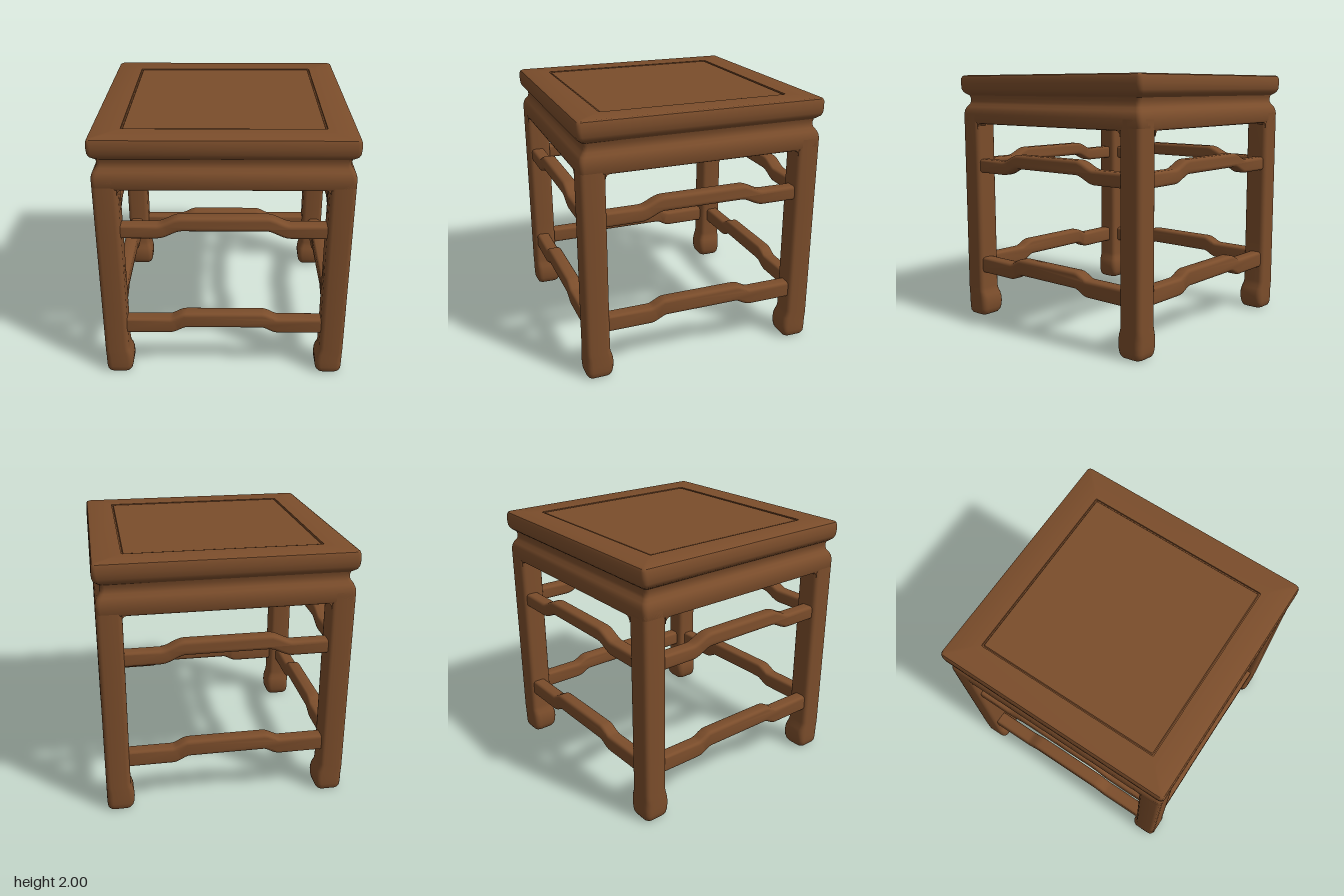
import * as THREE from 'three';
import { toCreasedNormals } from 'three/addons/utils/BufferGeometryUtils.js';

// Skin through rounded squares; each ring is [centre, half size, y, corner radius]
function squareLoft(rings) {
  const steps = 4, n = 4 * (steps + 1), pos = [], index = [];
  for (const [c, h, y, r] of rings) {
    for (let k = 0; k < 4; k++) {
      const mid = (k + 0.5) * Math.PI / 2;
      const sx = Math.sign(Math.cos(mid)), sz = Math.sign(Math.sin(mid));
      for (let s = 0; s <= steps; s++) {
        const a = (k + s / steps) * Math.PI / 2;
        pos.push(c + sx * (h - r) + r * Math.cos(a), y, c + sz * (h - r) + r * Math.sin(a));
      }
    }
  }
  for (let i = 0; i < rings.length - 1; i++) {
    for (let j = 0; j < n; j++) {
      const a = i * n + j, b = i * n + (j + 1) % n;
      index.push(a, b, a + n, b, b + n, a + n);
    }
  }
  const geo = new THREE.BufferGeometry();
  geo.setAttribute('position', new THREE.Float32BufferAttribute(pos, 3));
  geo.setIndex(index);
  return toCreasedNormals(geo, 0.7);
}

// Humped rail: raised in the middle, eased down to both ends
function railGeometry(y0, y1, rise, inner, outer) {
  const half = 0.78, bevel = 0.025, zMin = 0.805, zMax = 0.915;
  const lift = x => rise * (1 - THREE.MathUtils.smoothstep(Math.abs(x), inner, outer));
  const xs = [-half];
  for (let i = 0; i <= 8; i++) xs.push(-outer + (outer - inner) * i / 8);
  for (let i = 0; i <= 8; i++) xs.push(inner + (outer - inner) * i / 8);
  xs.push(half);
  const bottom = xs.map(x => new THREE.Vector2(x, y0 + bevel + lift(x)));
  const top = xs.map(x => new THREE.Vector2(x, y1 - bevel + lift(x))).reverse();
  const geo = new THREE.ExtrudeGeometry(new THREE.Shape([...bottom, ...top]), {
    depth: zMax - zMin - 2 * bevel, bevelEnabled: true,
    bevelSize: bevel, bevelThickness: bevel, bevelSegments: 4,
  });
  geo.translate(0, 0, zMin + bevel);
  return toCreasedNormals(geo, 0.7);
}

// Small concave bracket between apron and leg
function filletGeometry(side) {
  const r = 0.045, x = 0.755, y = 1.615;
  const s = new THREE.Shape();
  s.moveTo(side * x, y);
  s.lineTo(side * x, y - r);
  s.quadraticCurveTo(side * x, y, side * (x - r), y);
  s.lineTo(side * (x - r), y + 0.005);
  s.lineTo(side * x, y + 0.005);
  const geo = new THREE.ExtrudeGeometry(s, { depth: 0.075, bevelEnabled: false, curveSegments: 6 });
  geo.translate(0, 0, 0.855);
  return geo;
}

export function createModel() {
  const wood = new THREE.MeshStandardMaterial({ color: 0x7b4d2b });
  wood.name = 'brown wood';
  const model = new THREE.Group();
  model.name = 'squareStool';
  const add = (name, geo, parent = model) => {
    const mesh = new THREE.Mesh(geo, wood);
    mesh.name = name;
    parent.add(mesh);
    return mesh;
  };

  // Seat frame, waist and apron as one moulding, from the top groove round to the underside
  const moulding = [
    [0.731, 1.985, 0.01], [0.731, 2.0, 0.01], [0.925, 2.0, 0.02], [0.94, 1.993, 0.03],
    [0.947, 1.975, 0.03], [0.95, 1.93, 0.035], [0.947, 1.89, 0.035], [0.937, 1.865, 0.035],
    [0.92, 1.85, 0.035], [0.9, 1.837, 0.03], [0.894, 1.815, 0.03], [0.894, 1.79, 0.03],
    [0.9, 1.77, 0.03], [0.92, 1.745, 0.035], [0.931, 1.72, 0.035], [0.936, 1.69, 0.035],
    [0.936, 1.63, 0.035], [0.93, 1.615, 0.035], [0.92, 1.61, 0.03], [0.855, 1.61, 0.01],
    [0.85, 1.82, 0.01], [0.74, 1.82, 0.01], [0.74, 1.86, 0.01], [0.67, 1.86, 0.01],
    [0.67, 1.9, 0.01], [0.6, 1.9, 0.01], [0.6, 1.93, 0.01],
  ];
  add('seatFrameAndApron', squareLoft(moulding.map(([h, y, r]) => [0, h, y, r])));

  // Seat panel, set in a fine groove
  add('seatPanel', squareLoft([
    [0, 0, 1.996, 0], [0, 0.716, 1.996, 0.01], [0, 0.722, 1.986, 0.01],
    [0, 0.735, 1.985, 0.01], [0, 0.735, 1.925, 0.01], [0, 0, 1.925, 0],
  ]));

  // Leg with hoof foot: [outer face, inner face, y, corner radius]
  const legProfile = [
    [0.936, 0.75, 1.69, 0.035], [0.936, 0.75, 1.2, 0.035], [0.936, 0.75, 0.6, 0.035],
    [0.936, 0.75, 0.24, 0.035], [0.936, 0.745, 0.205, 0.035], [0.936, 0.733, 0.175, 0.04],
    [0.936, 0.725, 0.14, 0.045], [0.936, 0.723, 0.1, 0.045], [0.935, 0.727, 0.055, 0.045],
    [0.932, 0.735, 0.025, 0.045], [0.922, 0.748, 0.007, 0.04], [0.905, 0.765, 0, 0.03],
  ].map(([o, i, y, r]) => [(o + i) / 2, (o - i) / 2, y, r]);
  const legGeo = squareLoft([...legProfile, [0.835, 0, 0, 0]]);
  const upperRail = railGeometry(1.21, 1.32, 0.06, 0.31, 0.49);
  const lowerRail = railGeometry(0.37, 0.5, 0.048, 0.29, 0.42);
  const fillets = [filletGeometry(1), filletGeometry(-1)];

  // One leg, two rails and two brackets on each of the four sides
  ['front', 'left', 'back', 'right'].forEach((side, k) => {
    const group = new THREE.Group();
    group.name = side + 'Side';
    group.rotation.y = k * Math.PI / 2;
    add(side + 'Leg', legGeo, group);
    add(side + 'UpperRail', upperRail, group);
    add(side + 'LowerRail', lowerRail, group);
    fillets.forEach((geo, i) => add(side + 'Bracket' + (i + 1), geo, group));
    model.add(group);
  });
  return model;
}
